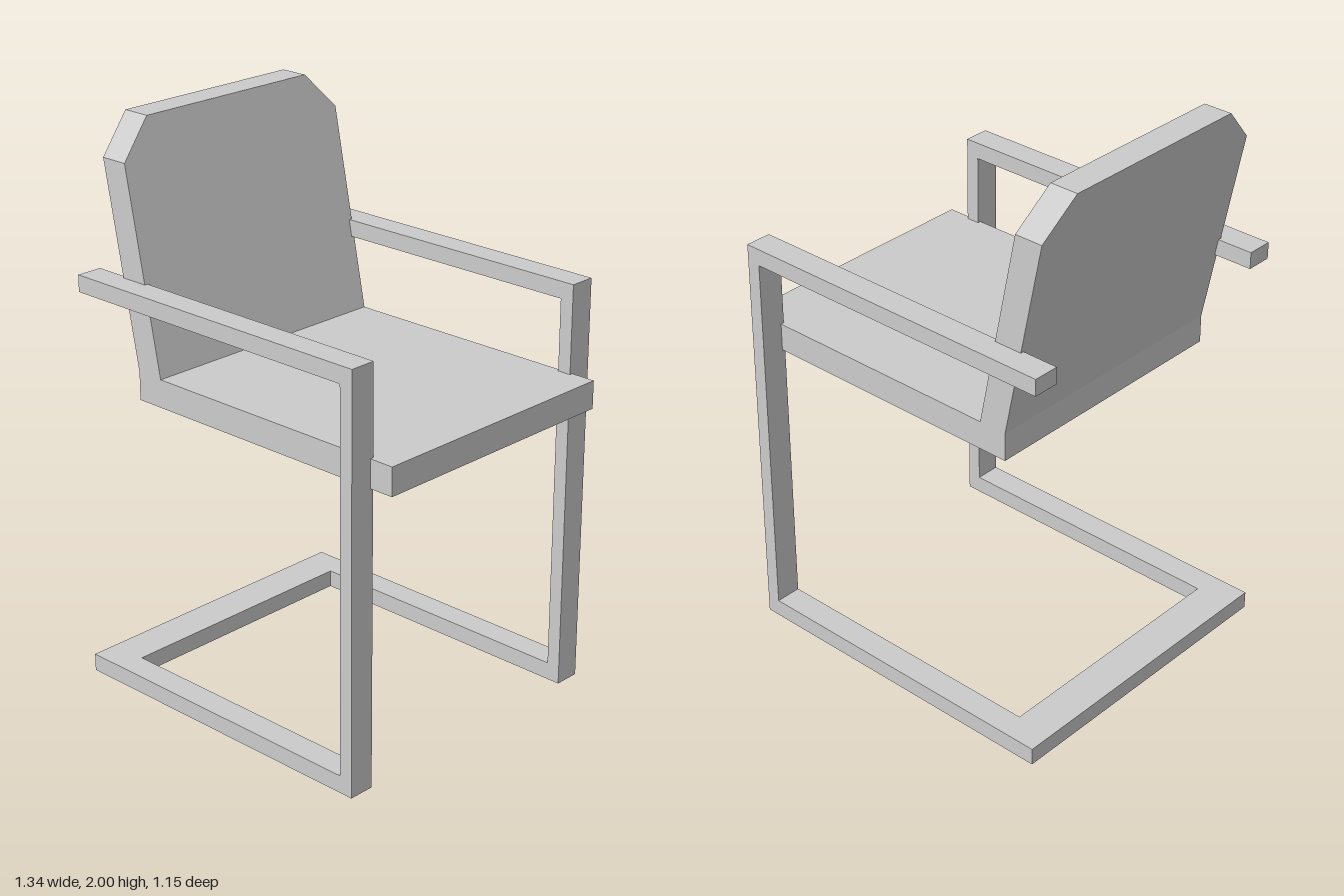
import * as THREE from 'three';

const material = new THREE.MeshStandardMaterial({ color: 0xcccccc, flatShading: true });

// Extrude a polygon outline by depth, centred on z = 0
function slab(name, points, depth) {
  const shape = new THREE.Shape(points.map(([x, y]) => new THREE.Vector2(x, y)));
  const geometry = new THREE.ExtrudeGeometry(shape, { depth, bevelEnabled: false });
  geometry.translate(0, 0, -depth / 2);
  const mesh = new THREE.Mesh(geometry, material);
  mesh.name = name;
  return mesh;
}

export function createModel() {
  const chair = new THREE.Group();
  chair.name = 'cantileverArmchair';

  // Seat cushion, open end towards +x
  const seat = slab('seat', [[-0.475, 1.06], [0.665, 1.06], [0.665, 1.16], [-0.475, 1.16]], 0.98);
  chair.add(seat);

  // Backrest: panel with clipped top corners, sheared to lean backwards
  const back = slab('backrest', [
    [-0.49, 1.16], [0.49, 1.16], [0.49, 1.87], [0.365, 2], [-0.365, 2], [-0.49, 1.87],
  ], 0.104);
  back.geometry.rotateY(Math.PI / 2);
  const p = back.geometry.attributes.position;
  for (let i = 0; i < p.count; i++) {
    p.setX(i, p.getX(i) - 0.423 - 0.2 * (p.getY(i) - 1.16));
  }
  back.geometry.computeVertexNormals();
  chair.add(back);

  // Side frames: armrest, front post and floor runner in one C-shaped piece
  const outline = [
    [-0.67, 0], [0.575, 0], [0.575, 1.475], [-0.67, 1.475],
    [-0.67, 1.415], [0.525, 1.415], [0.525, 0.063], [-0.67, 0.063],
  ];
  for (const [name, side] of [['leftFrame', 1], ['rightFrame', -1]]) {
    const frame = slab(name, outline, 0.095);
    frame.position.z = side * 0.525;
    chair.add(frame);
  }

  // Floor bar joining the two runners at the rear
  const bar = slab('rearFloorBar', [[-0.67, 0], [-0.53, 0], [-0.53, 0.063], [-0.67, 0.063]], 0.955);
  chair.add(bar);

  // Very slight turn of the whole chair
  chair.rotation.y = 0.005;
  return chair;
}
